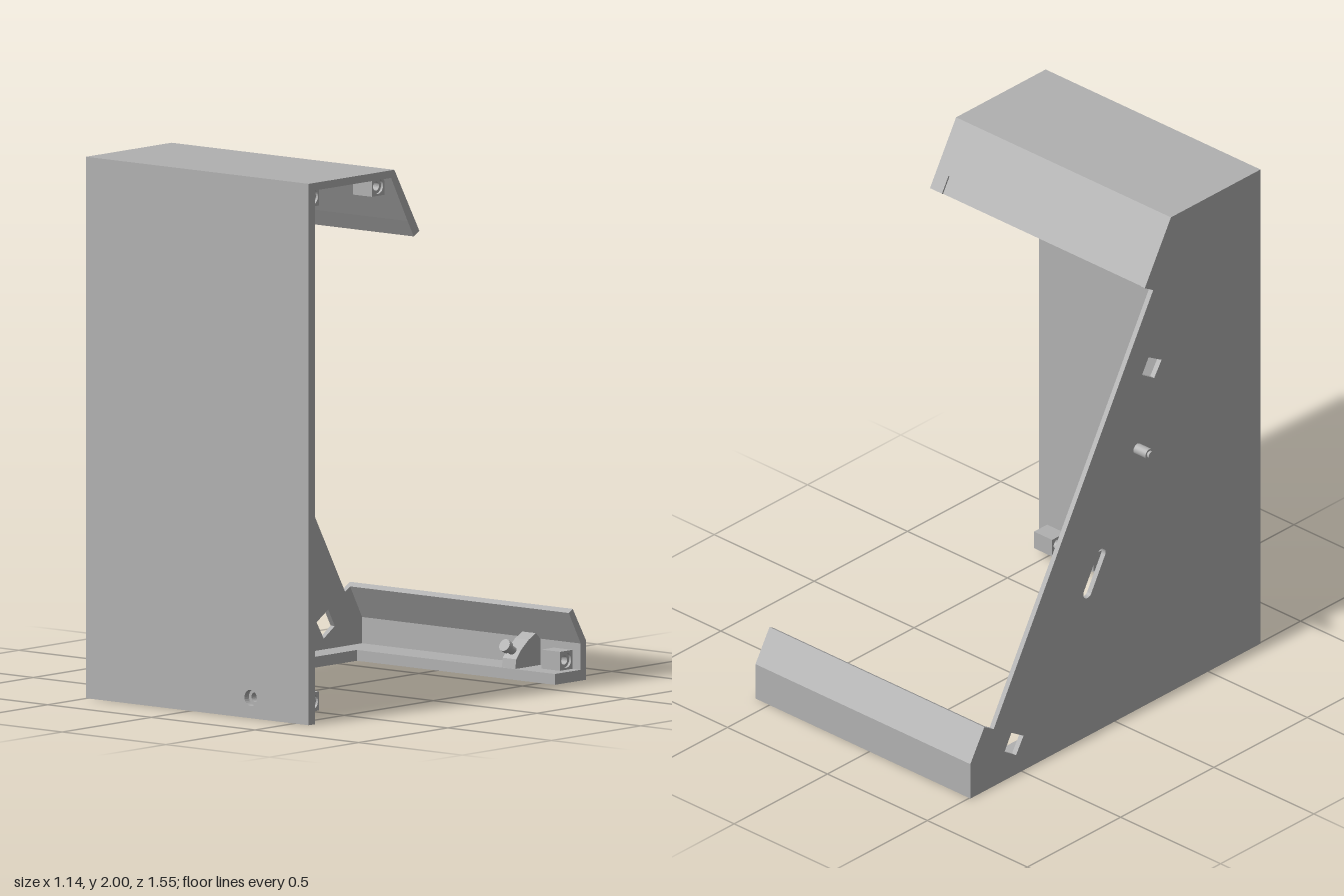
import * as THREE from 'three';

export function createModel() {
  const model = new THREE.Group();
  const grey = new THREE.MeshStandardMaterial({ color: 0xb0b0b0 });
  const X0 = -0.505, X1 = 0.57, WALL = -0.485, FLANGE = -0.385;

  const add = (name, geometry) => {
    const mesh = new THREE.Mesh(geometry, grey);
    mesh.name = name;
    model.add(mesh);
    return mesh;
  };
  const outline = pts => pts.map(([a, b]) => new THREE.Vector2(a, b));
  const circle = (a, b, r) => new THREE.Path().absarc(a, b, r, 0, Math.PI * 2, true);
  const solid = (shape, depth) =>
    new THREE.ExtrudeGeometry(shape, { depth, bevelEnabled: false, curveSegments: 12 });

  // Extrudes a (z, y) outline along x, from xa to xb
  const along = (name, pts, xa, xb, holes = []) => {
    const shape = new THREE.Shape(outline(pts));
    shape.holes.push(...holes);
    return add(name, solid(shape, xb - xa).rotateY(-Math.PI / 2).translate(xb, 0, 0));
  };

  // Side wall with two square windows and a slanted slot
  const slot = new THREE.Path();
  const tilt = Math.PI / 3;
  slot.absarc(-0.073, 0.735, 0.023, tilt - Math.PI / 2, tilt + Math.PI / 2, false);
  slot.absarc(-0.147, 0.605, 0.023, tilt + Math.PI / 2, tilt + Math.PI * 1.5, false);
  slot.closePath();
  along('sideWall', [
    [0.78, 0], [0.78, 2], [0.30, 2], [0.16, 1.76], [0.205, 1.733],
    [-0.65, 0.24], [-0.70, 0.27], [-0.775, 0.145], [-0.775, 0],
  ], X0, WALL, [
    new THREE.Path(outline([[0.25, 1.42], [0.18, 1.46], [0.145, 1.40], [0.21, 1.36]])),
    new THREE.Path(outline([[-0.49, 0.145], [-0.555, 0.185], [-0.592, 0.12], [-0.53, 0.08]])),
    slot,
  ]);

  // Front panel with a screw hole
  const panel = new THREE.Shape(outline([[WALL, 0], [X1, 0], [X1, 2], [WALL, 2]]));
  panel.holes.push(circle(0.29, 0.075, 0.03));
  add('frontPanel', solid(panel, 0.035).translate(0, 0, 0.745));

  // Top plate folding into the sloped upper lip, whose lower edge is slightly recessed
  along('topHood', [
    [0.745, 2], [0.30, 2], [0.195, 1.82], [0.226, 1.803], [0.318, 1.972], [0.745, 1.972],
  ], WALL, X1);
  along('lipRecess', [
    [0.201, 1.817], [0.166, 1.757], [0.191, 1.742], [0.226, 1.803],
  ], WALL, 0.51);
  along('lipEnd', [
    [0.195, 1.82], [0.16, 1.76], [0.191, 1.742], [0.226, 1.803],
  ], 0.51, X1);

  // Lower back rail and the floor flange beside the wall
  along('backRail', [
    [-0.60, 0], [-0.60, 0.04], [-0.745, 0.04], [-0.745, 0.137],
    [-0.678, 0.257], [-0.70, 0.27], [-0.775, 0.145], [-0.775, 0],
  ], WALL, X1);
  along('floorFlange', [[0.745, 0], [0.745, 0.04], [-0.60, 0.04], [-0.60, 0]], WALL, FLANGE);

  // Screw bosses bored along x: [z, y, xa, xb, zMin, zMax, yMin, yMax]
  [
    [0.71, 0.075, 0.44, 0.53, 0.675, 0.745, 0.04, 0.11],
    [0.71, 1.94, 0.44, 0.53, 0.675, 0.745, 1.905, 1.972],
    [0.345, 1.94, 0.44, 0.53, 0.31, 0.38, 1.905, 1.972],
    [-0.71, 0.075, 0.44, 0.53, -0.745, -0.675, 0.04, 0.11],
    [0.58, 0.075, WALL, FLANGE, 0.545, 0.615, 0.04, 0.11],
    [-0.26, 0.075, WALL, FLANGE, -0.295, -0.225, 0.04, 0.11],
  ].forEach(([z, y, xa, xb, za, zb, ya, yb]) => {
    along('screwBoss', [[za, ya], [zb, ya], [zb, yb], [za, yb]], xa, xb, [circle(z, y, 0.028)]);
    const ring = new THREE.Shape().absarc(z, y, 0.028, 0, Math.PI * 2, false);
    ring.holes.push(circle(z, y, 0.017));
    add('bossSleeve', solid(ring, xb - xa - 0.02).rotateY(-Math.PI / 2).translate(xb - 0.01, 0, 0));
  });

  // Boss behind the front panel hole
  const block = new THREE.Shape(outline([[0.255, 0.04], [0.325, 0.04], [0.325, 0.11], [0.255, 0.11]]));
  block.holes.push(circle(0.29, 0.075, 0.018));
  add('frontBoss', solid(block, 0.055).translate(0, 0, 0.70));

  // Gusset in the back rail carrying a tilted peg
  along('railGusset', [
    [-0.745, 0.04], [-0.605, 0.04], [-0.61, 0.075], [-0.635, 0.105],
    [-0.68, 0.14], [-0.72, 0.16], [-0.745, 0.137],
  ], 0.31, 0.375);
  const peg = add('gussetPeg', new THREE.CylinderGeometry(0.016, 0.016, 0.05, 16));
  peg.position.set(0.34, 0.11, -0.615);
  peg.rotation.x = Math.PI / 3;
  const head = add('pegHead', new THREE.CylinderGeometry(0.024, 0.024, 0.022, 16));
  head.position.set(0.34, 0.122, -0.594);
  head.rotation.x = Math.PI / 3;

  // Pin through the side wall, with its inner head
  const pin = (name, r, xa, xb) => add(name, new THREE.CylinderGeometry(r, r, xb - xa, 20)
    .rotateZ(Math.PI / 2).translate((xa + xb) / 2, 1.1, 0.12));
  pin('sidePin', 0.021, -0.565, X0);
  pin('pinTip', 0.014, -0.575, -0.565);
  pin('pinHead', 0.022, WALL, -0.455);

  return model;
}
